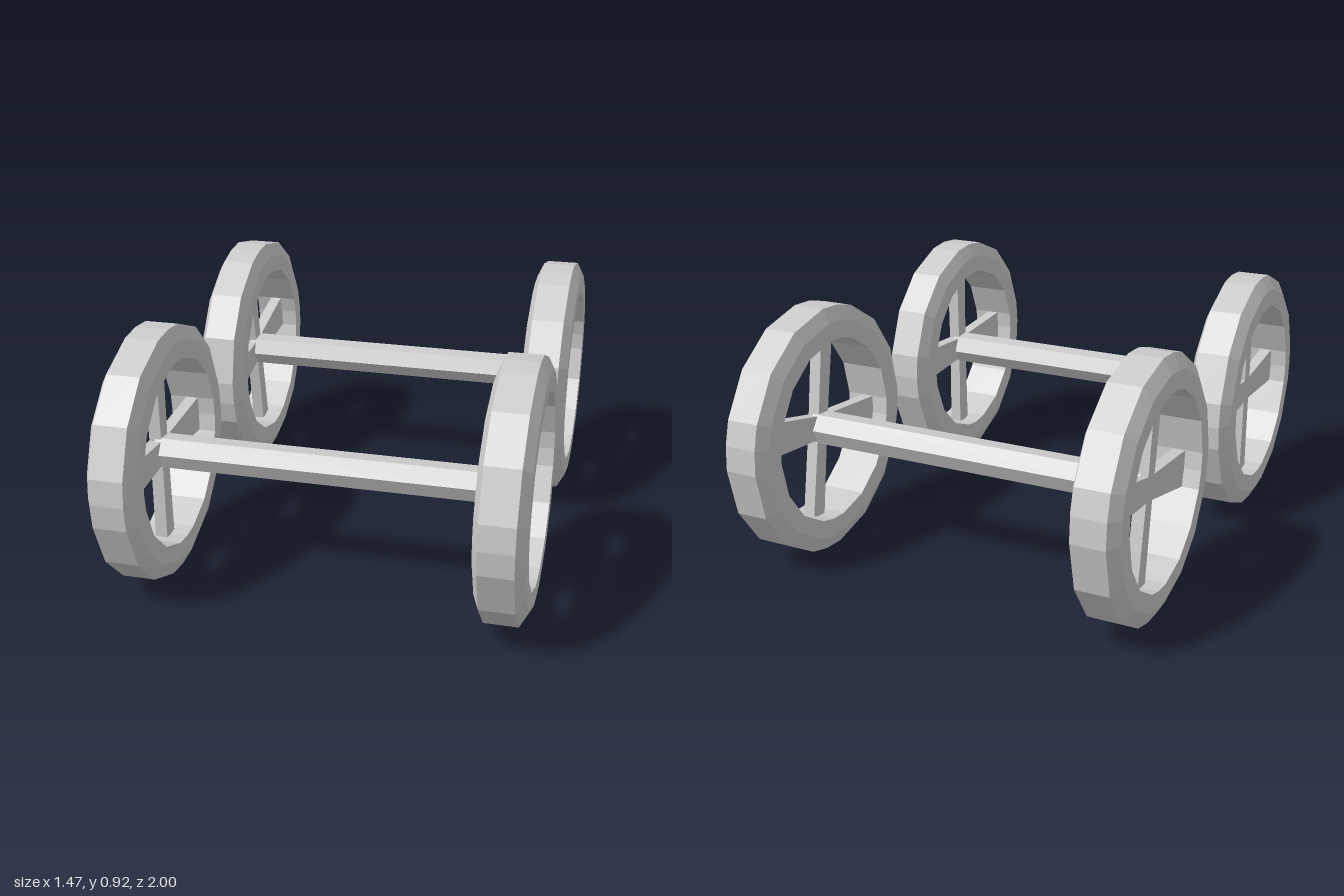
import * as THREE from 'three';

const RADIUS = 0.462;
const HOLE = 0.343;
const WHEEL_X = 0.647;
const rad = THREE.MathUtils.degToRad;

const material = new THREE.MeshStandardMaterial({ color: 0xcccccc, flatShading: true });

function part(name, geometry) {
  const mesh = new THREE.Mesh(geometry, material);
  mesh.name = name;
  return mesh;
}

// Rim: bevelled cross-section (x, radius) swept round the x axis,
// with an extra corner where each spoke meets it. s = +1 or -1 picks the outer side.
function rimGeometry(s) {
  let profile = [[-0.086, HOLE], [-0.086, 0.41], [-0.063, RADIUS], [0.057, RADIUS], [0.086, 0.41], [0.086, HOLE]];
  if (s < 0) profile = profile.map(([x, r]) => [-x, r]).reverse();
  const angles = [];
  for (let q = 0; q < 4; q++) {
    for (const a of [0, 11.25, 33.75, 56.25, 78.75]) angles.push(rad(q * 90 + a));
  }
  const n = profile.length;
  const positions = [];
  const index = [];
  angles.forEach((a, i) => {
    const next = (i + 1) % angles.length;
    profile.forEach(([x, r], j) => {
      positions.push(x, r * Math.sin(a), r * Math.cos(a));
      const k = (j + 1) % n;
      const p = i * n + j, q = i * n + k, u = next * n + k, v = next * n + j;
      index.push(p, q, u, p, u, v);
    });
  });
  const geometry = new THREE.BufferGeometry();
  geometry.setAttribute('position', new THREE.Float32BufferAttribute(positions, 3));
  geometry.setIndex(index);
  const flat = geometry.toNonIndexed();
  flat.computeVertexNormals();
  return flat;
}

// Spoke cross: a wide and a narrow pair of arms that flare towards the rim
function spokesGeometry() {
  const L = HOLE + 0.004;
  const wideEnd = 0.067, wideMid = 0.045, thinEnd = 0.034, thinMid = 0.029;
  const shape = new THREE.Shape([
    [L, -wideEnd], [L, wideEnd], [thinMid, wideMid],
    [thinEnd, L], [-thinEnd, L], [-thinMid, wideMid],
    [-L, wideEnd], [-L, -wideEnd], [-thinMid, -wideMid],
    [-thinEnd, -L], [thinEnd, -L], [thinMid, -wideMid],
  ].map(([x, y]) => new THREE.Vector2(x, y)));
  const depth = 0.045;
  return new THREE.ExtrudeGeometry(shape, { depth, bevelEnabled: false })
    .translate(0, 0, -depth / 2)
    .rotateY(Math.PI / 2);
}

// Two wheels joined by a hexagonal axle
function wheelSet(name) {
  const set = new THREE.Group();
  set.name = name;
  const axle = part('axle', new THREE.CylinderGeometry(0.063, 0.063, 2 * WHEEL_X, 6)
    .rotateZ(Math.PI / 2)
    .rotateX(rad(-5)));
  set.add(axle);
  for (const s of [1, -1]) {
    const wheel = new THREE.Group();
    wheel.name = s > 0 ? 'leftWheel' : 'rightWheel';
    wheel.add(part('rim', rimGeometry(s)), part('spokes', spokesGeometry()));
    wheel.position.x = s * WHEEL_X;
    set.add(wheel);
  }
  return set;
}

export function createModel() {
  const model = new THREE.Group();
  model.name = 'wheelsAndAxles';

  const front = wheelSet('frontWheelSet');
  front.position.set(0, RADIUS, 0.538);

  // The rear set is turned slightly about its axle
  const rear = wheelSet('rearWheelSet');
  rear.position.set(0, RADIUS, -0.538);
  rear.rotation.x = rad(9.6);

  model.add(front, rear);
  return model;
}
